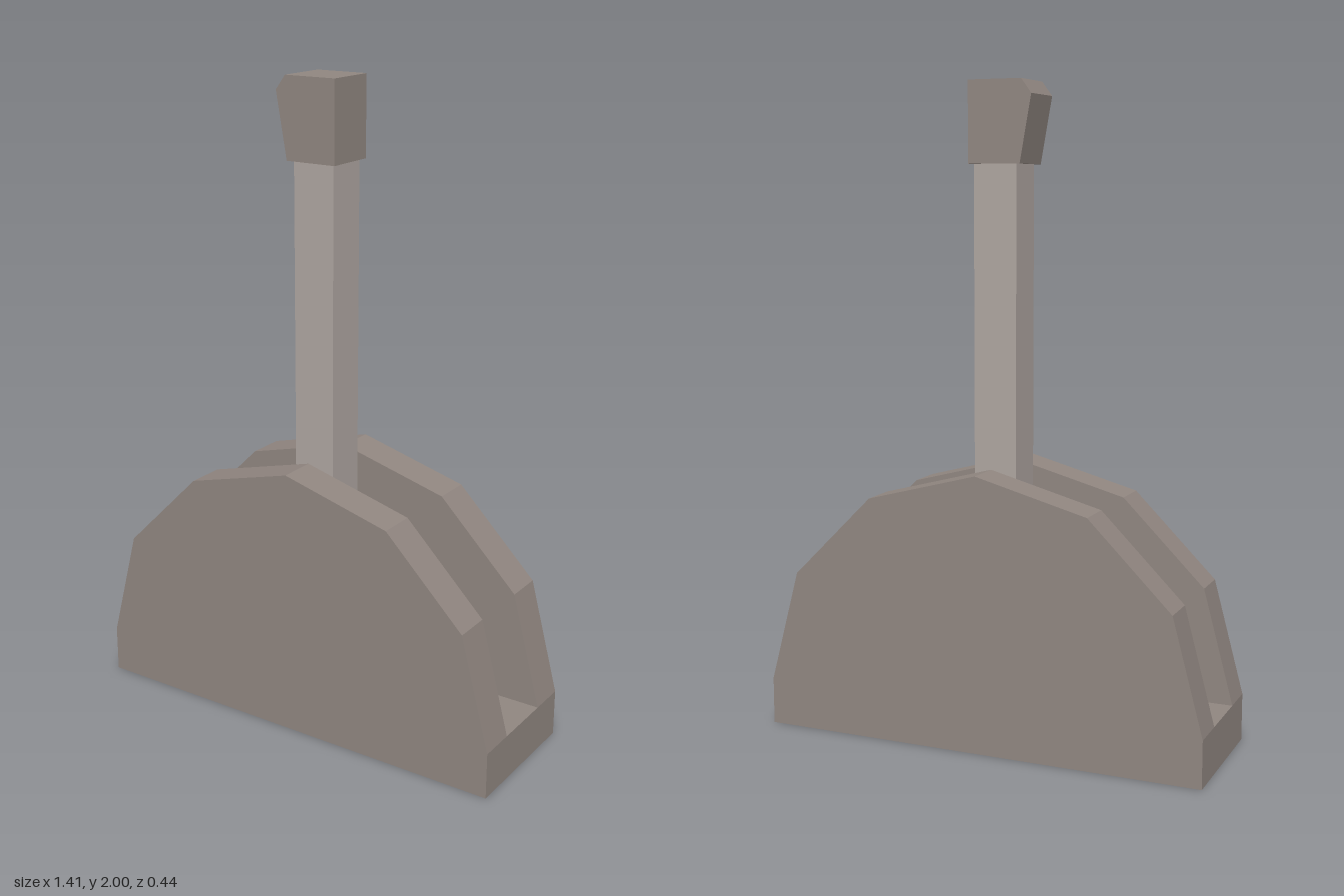
import * as THREE from 'three';

const bodyMaterial = new THREE.MeshStandardMaterial({ color: 0x908680, flatShading: true });
const shaftMaterial = new THREE.MeshStandardMaterial({ color: 0xaea5a0, flatShading: true });

const RADIUS = 0.704, FLOOR = 0.146, HALF_DEPTH = 0.22, HALF_SLOT = 0.1;

// Extrudes an x-y outline from z0 to z1
function slab(name, points, z0, z1) {
  const shape = new THREE.Shape(points.map(([x, y]) => new THREE.Vector2(x, y)));
  const geometry = new THREE.ExtrudeGeometry(shape, { depth: z1 - z0, bevelEnabled: false });
  geometry.translate(0, 0, z0);
  const mesh = new THREE.Mesh(geometry, bodyMaterial);
  mesh.name = name;
  return mesh;
}

function box(name, w, y0, y1, d, material) {
  const mesh = new THREE.Mesh(new THREE.BoxGeometry(w, y1 - y0, d), material);
  mesh.position.y = (y0 + y1) / 2;
  mesh.name = name;
  return mesh;
}

export function createModel() {
  const model = new THREE.Group();
  model.name = 'lever';

  // Side plates: a six-sided half round on a short upright foot
  const outline = [[-RADIUS, 0], [RADIUS, 0]];
  for (let i = 0; i <= 6; i++) {
    const a = (i / 6) * Math.PI;
    outline.push([RADIUS * Math.cos(a), FLOOR + RADIUS * Math.sin(a)]);
  }
  model.add(slab('frontPlate', outline, HALF_SLOT, HALF_DEPTH));
  model.add(slab('backPlate', outline, -HALF_DEPTH, -HALF_SLOT));

  // Floor of the slot between the plates
  model.add(box('slotFloor', RADIUS * 2, 0, FLOOR, HALF_SLOT * 2, bodyMaterial));

  // Square shaft standing in the slot
  model.add(box('shaft', 0.136, FLOOR, 1.757, 0.136, shaftMaterial));

  // Grip with a slanted, chamfered side
  const grip = [[-0.084, 1.757], [0.081, 1.757], [0.081, 2], [-0.088, 2], [-0.12, 1.957]];
  model.add(slab('grip', grip, -0.082, 0.082));

  return model;
}
